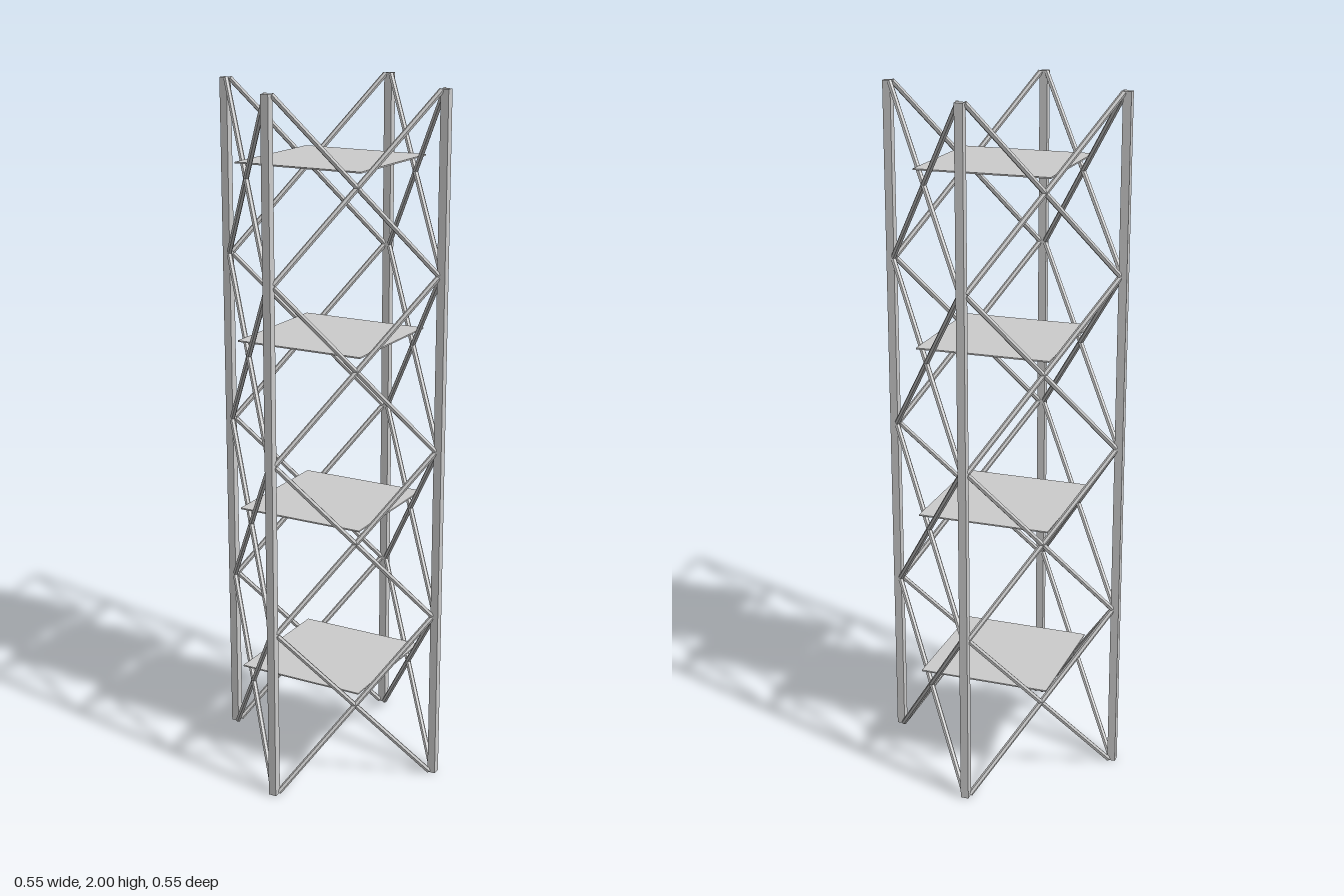
import * as THREE from 'three';

const HALF = 0.243;   // post centre offset
const BAY = 0.5;      // height of one bay
const BAYS = 4;
const UP = new THREE.Vector3(0, 1, 0);

export function createModel() {
  const model = new THREE.Group();
  const material = new THREE.MeshStandardMaterial({ color: 0xcccccc, flatShading: true });

  const add = (parent, geometry, name) => {
    const mesh = new THREE.Mesh(geometry, material);
    mesh.name = name;
    parent.add(mesh);
    return mesh;
  };

  // Four-sided corner posts
  const postGeometry = new THREE.CylinderGeometry(0.0165, 0.0165, BAY * BAYS, 4);
  for (const x of [-HALF, HALF]) {
    for (const z of [-HALF, HALF]) {
      add(model, postGeometry, 'cornerPost').position.set(x, BAY * BAYS / 2, z);
    }
  }

  // Crossed braces, one X per bay on each side
  const reach = 0.23, rise = 0.247;
  const length = 2 * Math.hypot(reach, rise);
  const braceGeometry = new THREE.CylinderGeometry(0.008, 0.008, length, 6);
  for (let side = 0; side < 4; side++) {
    const face = new THREE.Group();
    face.name = 'bracedSide';
    face.rotation.y = side * Math.PI / 2;
    for (let bay = 0; bay < BAYS; bay++) {
      for (const dir of [-1, 1]) {
        const brace = add(face, braceGeometry, 'diagonalBrace');
        brace.position.set(0, (bay + 0.5) * BAY, HALF);
        brace.quaternion.setFromUnitVectors(UP, new THREE.Vector3(dir * reach, rise, 0).normalize());
      }
    }
    model.add(face);
  }

  // Thin square platforms turned 45 degrees to the frame
  const plateSide = 0.274 * Math.SQRT2;
  const plateGeometry = new THREE.BoxGeometry(plateSide, 0.004, plateSide);
  for (let i = 0; i < BAYS; i++) {
    const plate = add(model, plateGeometry, 'platform');
    plate.position.y = 0.3 + i * 0.498;
    plate.rotation.y = Math.PI / 4;
  }

  return model;
}
